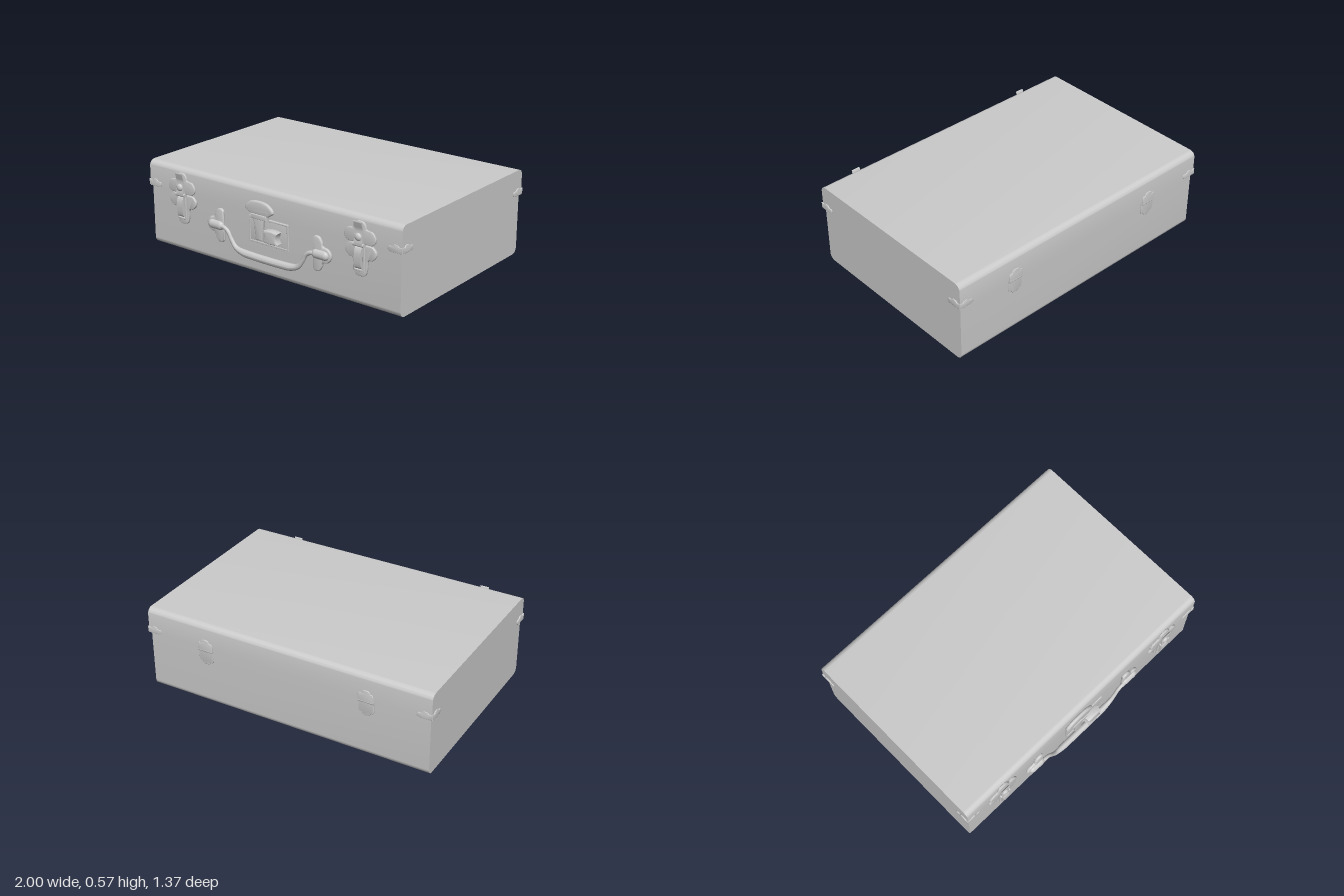
import * as THREE from 'three';
import { toCreasedNormals } from 'three/addons/utils/BufferGeometryUtils.js';

const grey = new THREE.MeshStandardMaterial({ color: 0xcccccc, side: THREE.DoubleSide });

function add(parent, name, geometry) {
  const mesh = new THREE.Mesh(geometry, grey);
  mesh.name = name;
  parent.add(mesh);
  return mesh;
}

const vecs = (pts) => pts.map(([x, y]) => new THREE.Vector2(x, y));
const mirrored = (half) => [...half, ...half.filter(([x]) => x !== 0).reverse().map(([x, y]) => [-x, y])];

// Smooth outline through the points, closed by a straight edge
function curvy(pts) {
  const shape = new THREE.Shape();
  shape.moveTo(...pts[0]);
  shape.splineThru(vecs(pts.slice(1)));
  return shape;
}

// Raised plate with softened edges, filling z = 0 .. depth
function plate(shape, depth, bevel = 0.004) {
  const g = new THREE.ExtrudeGeometry(shape, {
    depth: depth - bevel * 2, curveSegments: 40, bevelEnabled: true,
    bevelSize: bevel, bevelOffset: -bevel, bevelThickness: bevel, bevelSegments: 3,
  });
  g.translate(0, 0, bevel);
  return toCreasedNormals(g, 0.7);
}

// Side profile given in (z, y), extruded across the width
function across(shape, width) {
  const g = new THREE.ExtrudeGeometry(shape, { depth: width, bevelEnabled: false, curveSegments: 10 });
  g.translate(0, 0, -width / 2);
  g.rotateY(-Math.PI / 2);
  return toCreasedNormals(g, 0.6);
}

// Box profile with rounded corners at the outer (r > 0) edge only
function shellProfile(z0, z1, yFlat, yRound, r) {
  const s = new THREE.Shape();
  const d = Math.sign(yRound - yFlat) * r;
  s.moveTo(z0, yFlat);
  s.lineTo(z1, yFlat);
  s.lineTo(z1, yRound - d);
  s.bezierCurveTo(z1, yRound - d * 0.45, z1 - r * 0.45, yRound, z1 - r, yRound);
  s.lineTo(z0 + r, yRound);
  s.bezierCurveTo(z0 + r * 0.45, yRound, z0, yRound - d * 0.45, z0, yRound - d);
  return s;
}

function makeLatch(x) {
  const latch = new THREE.Group();
  latch.name = 'latch';
  const upper = mirrored([[0.085, 0.406], [0.108, 0.425], [0.112, 0.455], [0.09, 0.487], [0.05, 0.495],
    [0.042, 0.515], [0.028, 0.536], [0, 0.543]]);
  const lower = mirrored([[0.085, 0.396], [0.11, 0.37], [0.11, 0.34], [0.085, 0.312], [0.056, 0.305],
    [0.048, 0.25], [0.035, 0.21], [0, 0.2]]);
  add(latch, 'upperPlate', plate(curvy(upper), 0.014)).position.z = 0.634;
  add(latch, 'lowerPlate', plate(curvy(lower), 0.018)).position.z = 0.623;
  // Frame around the hasp
  const frame = new THREE.Shape(vecs([[-0.038, 0.235], [0.038, 0.235], [0.038, 0.4], [-0.038, 0.4]]));
  frame.holes.push(new THREE.Path(vecs([[-0.026, 0.247], [-0.026, 0.388], [0.026, 0.388], [0.026, 0.247]])));
  add(latch, 'haspFrame', plate(frame, 0.016, 0.003)).position.z = 0.637;
  add(latch, 'hasp', across(curvy([[0.635, 0.385], [0.655, 0.387], [0.668, 0.36], [0.67, 0.31],
    [0.662, 0.26], [0.635, 0.245]]), 0.048));
  // Curled finger lever
  add(latch, 'lever', across(curvy([[0.646, 0.395], [0.666, 0.398], [0.663, 0.44], [0.659, 0.49], [0.666, 0.52],
    [0.672, 0.543], [0.667, 0.545], [0.66, 0.522], [0.652, 0.49], [0.65, 0.44]]), 0.058));
  const pin = add(latch, 'pivot', new THREE.CylinderGeometry(0.012, 0.012, 0.078, 16));
  pin.rotation.z = Math.PI / 2;
  pin.position.set(0, 0.4, 0.655);
  const knob = add(latch, 'knob', new THREE.SphereGeometry(0.024, 24, 16));
  knob.scale.z = 0.6;
  knob.position.set(0, 0.45, 0.662);
  latch.position.x = x;
  return latch;
}

function makeHandleMount(side) {
  const mount = new THREE.Group();
  mount.name = 'handleMount';
  const pts = [[0.356, 0.165], [0.375, 0.15], [0.405, 0.156], [0.424, 0.185], [0.432, 0.208], [0.465, 0.217],
    [0.49, 0.245], [0.49, 0.278], [0.465, 0.305], [0.432, 0.313], [0.424, 0.34], [0.405, 0.368],
    [0.375, 0.374], [0.356, 0.36]];
  add(mount, 'mountPlate', plate(curvy(pts.map(([x, y]) => [x * side, y])), 0.022, 0.008)).position.z = 0.623;
  const socket = add(mount, 'handleSocket', new THREE.CapsuleGeometry(0.03, 0.065, 8, 24));
  socket.rotation.z = Math.PI / 2;
  socket.scale.z = 0.8;
  socket.position.set(0.415 * side, 0.262, 0.642);
  return mount;
}

// Tube that is thin at both ends and full in the grip
function handleGeometry() {
  const half = [[0.39, 0.262], [0.345, 0.26], [0.312, 0.24], [0.285, 0.195], [0.25, 0.15], [0.2, 0.131], [0.1, 0.125], [0, 0.124]];
  const path = new THREE.CatmullRomCurve3(mirrored(half).map(([x, y]) =>
    new THREE.Vector3(x, y, 0.65)));
  const steps = 90, sides = 16;
  const g = new THREE.TubeGeometry(path, steps, 1, sides, false);
  const pos = g.attributes.position;
  const v = new THREE.Vector3();
  for (let i = 0; i <= steps; i++) {
    const c = path.getPointAt(i / steps);
    const r = THREE.MathUtils.lerp(0.025, 0.014, THREE.MathUtils.smoothstep(Math.abs(c.x), 0.16, 0.3));
    for (let j = 0; j <= sides; j++) {
      const k = i * (sides + 1) + j;
      v.fromBufferAttribute(pos, k).sub(c).multiplyScalar(r);
      v.z *= 0.85;
      v.add(c);
      pos.setXYZ(k, v.x, v.y, v.z);
    }
  }
  g.computeVertexNormals();
  return g;
}

function makeLock() {
  const lock = new THREE.Group();
  lock.name = 'centreLock';
  const rect = (a, b, c, d) => vecs([[a, b], [c, b], [c, d], [a, d]]);
  add(lock, 'lockPlate', plate(new THREE.Shape(rect(-0.145, 0.217, 0.165, 0.385)), 0.012, 0.002)).position.z = 0.623;
  const rim = new THREE.Shape(rect(-0.145, 0.217, 0.165, 0.385));
  rim.holes.push(new THREE.Path(rect(-0.134, 0.228, 0.154, 0.374).reverse()));
  add(lock, 'lockRim', plate(rim, 0.007, 0.002)).position.z = 0.632;
  // Mushroom shaped cap on the lid
  const cap = mirrored([[0.07, 0.406], [0.1, 0.425], [0.113, 0.44], [0.1, 0.465], [0.06, 0.49], [0, 0.497]]);
  add(lock, 'lockCap', plate(curvy(cap), 0.024, 0.011)).position.set(-0.052, 0, 0.634);
  add(lock, 'lockCollar', plate(new THREE.Shape(rect(-0.115, 0.38, 0.012, 0.412)), 0.036, 0.006)).position.z = 0.626;
  const tongue = new THREE.Shape(vecs([[-0.08, 0.245], [-0.03, 0.245], [-0.02, 0.35], [-0.012, 0.385], [-0.098, 0.385], [-0.09, 0.35]]));
  add(lock, 'lockTongue', plate(tongue, 0.028, 0.006)).position.z = 0.63;
  // Sliding button with pinched sides
  const b = new THREE.Shape();
  b.moveTo(0.003, 0.258);
  b.quadraticCurveTo(0.058, 0.242, 0.113, 0.258);
  b.quadraticCurveTo(0.09, 0.293, 0.113, 0.328);
  b.quadraticCurveTo(0.058, 0.345, 0.003, 0.328);
  b.quadraticCurveTo(0.026, 0.293, 0.003, 0.258);
  add(lock, 'lockButton', plate(b, 0.054, 0.009)).position.z = 0.632;
  return lock;
}

// Scalloped corner guard wrapping two faces of the lid
function makeCornerGuard(sx, back) {
  const guard = new THREE.Group();
  guard.name = 'cornerGuard';
  const pts = [[0, 0.405], [0.085, 0.405], [0.103, 0.416], [0.1, 0.435], [0.075, 0.439], [0.06, 0.451],
    [0.035, 0.45], [0.025, 0.441], [0, 0.445]];
  const z = back ? -0.682 : 0.64;
  const face = plate(curvy(pts.map(([u, y]) => [sx * (0.999 - u), y])), 0.008, 0.002);
  add(guard, 'guardFace', face).position.z = back ? z : z - 0.008;
  const dir = back ? -1 : 1;
  const flank = plate(curvy(pts.map(([u, y]) => [-(z - dir * u), y])), 0.008, 0.002);
  flank.rotateY(Math.PI / 2);
  add(guard, 'guardSide', flank).position.x = sx > 0 ? 0.992 : -1;
  return guard;
}

function makeHinge(x) {
  const hinge = new THREE.Group();
  hinge.name = 'hinge';
  const upper = mirrored([[0.052, 0.395], [0.052, 0.43], [0.044, 0.448], [0.032, 0.45], [0.022, 0.465], [0, 0.47]]);
  const lower = mirrored([[0.052, 0.4], [0.052, 0.33], [0.044, 0.31], [0.03, 0.308], [0.02, 0.294], [0, 0.29]]);
  add(hinge, 'upperLeaf', plate(curvy(upper), 0.008, 0.002)).position.z = -0.684;
  add(hinge, 'lowerLeaf', plate(curvy(lower), 0.008, 0.002)).position.z = -0.673;
  const knuckle = add(hinge, 'knuckle', new THREE.CylinderGeometry(0.01, 0.01, 0.104, 16));
  knuckle.rotation.z = Math.PI / 2;
  knuckle.position.set(0, 0.392, -0.674);
  hinge.position.x = x;
  return hinge;
}

export function createModel() {
  const suitcase = new THREE.Group();
  suitcase.name = 'suitcase';
  add(suitcase, 'base', across(shellProfile(-0.667, 0.625, 0.4, 0.002, 0.04), 1.966));
  add(suitcase, 'lid', across(shellProfile(-0.678, 0.635, 0.4, 0.572, 0.04), 1.986));
  for (const side of [-1, 1]) {
    suitcase.add(makeLatch(0.705 * side), makeHandleMount(side), makeHinge(0.565 * side));
    for (const back of [false, true]) suitcase.add(makeCornerGuard(side, back));
  }
  add(suitcase, 'handle', handleGeometry());
  suitcase.add(makeLock());
  return suitcase;
}
